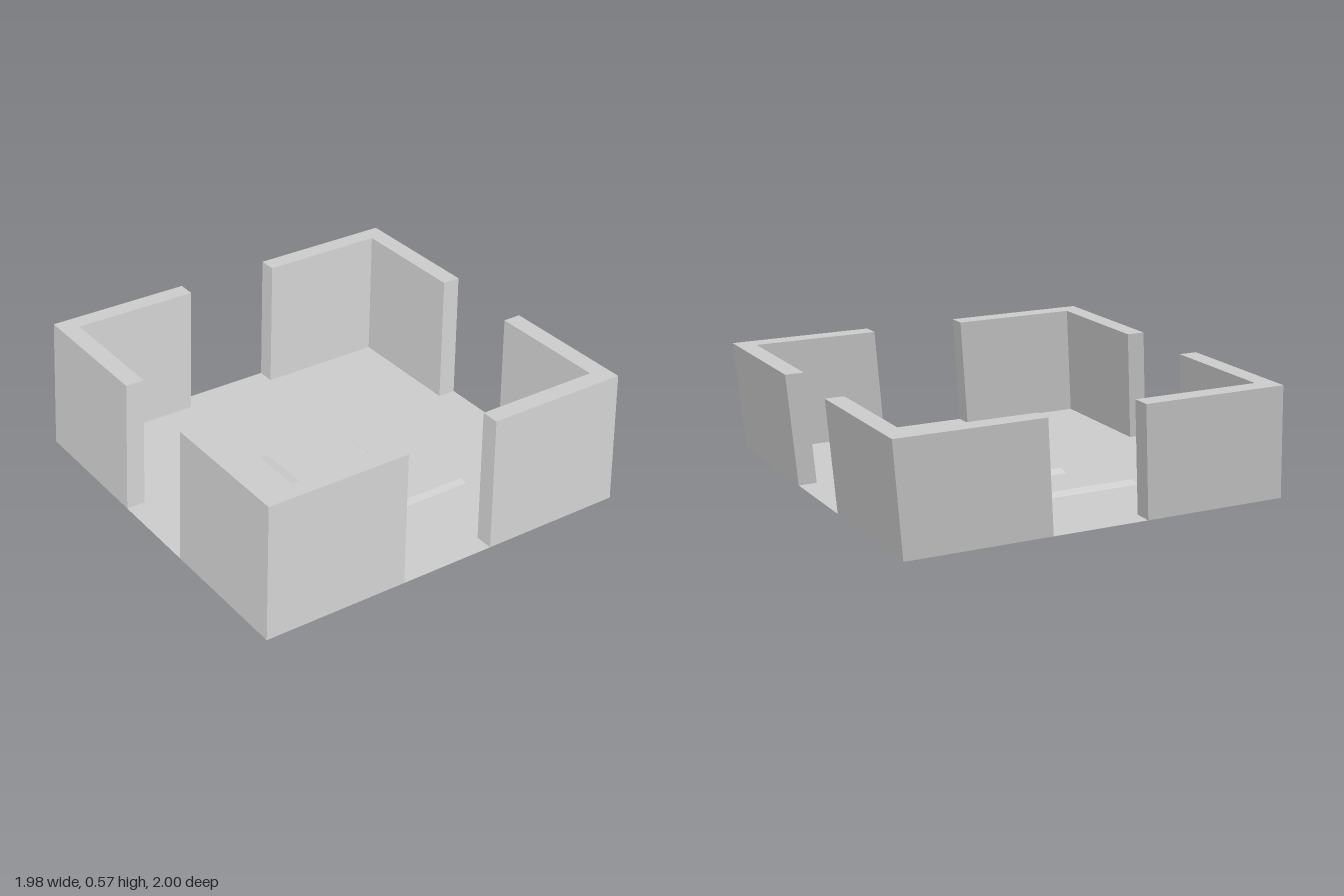
import * as THREE from 'three';

const HALF = 0.944;   // half width of the square footprint
const THICK = 0.09;   // wall thickness
const GAP = 0.237;    // half width of each opening
const HEIGHT = 0.567; // wall height
const LEAN = { x: 0.092, z: -0.111 }; // offset of the wall tops

const material = new THREE.MeshStandardMaterial({
  color: 0xcccccc, flatShading: true, side: THREE.DoubleSide,
});

function addMesh(parent, name, geometry) {
  const mesh = new THREE.Mesh(geometry, material);
  mesh.name = name;
  parent.add(mesh);
  return mesh;
}

// L-shaped corner wall, open underneath, leaning over by a shear
function cornerWall(quarter) {
  const inner = HALF - THICK;
  const outline = [[HALF, HALF], [GAP, HALF], [GAP, inner], [inner, inner], [inner, GAP], [HALF, GAP]];
  const shape = new THREE.Shape(outline.map(([x, y]) => new THREE.Vector2(x, y)));
  const solid = new THREE.ExtrudeGeometry(shape, { depth: HEIGHT, bevelEnabled: false })
    .rotateX(-Math.PI / 2)
    .rotateY(quarter * Math.PI / 2);

  // Keep every triangle except those of the bottom cap
  const p = solid.attributes.position.array;
  const kept = [];
  for (let i = 0; i < p.length; i += 9) {
    if (Math.max(p[i + 1], p[i + 4], p[i + 7]) > 0.001) kept.push(...p.slice(i, i + 9));
  }
  const geometry = new THREE.BufferGeometry();
  geometry.setAttribute('position', new THREE.Float32BufferAttribute(kept, 3));
  const pos = geometry.attributes.position;
  for (let i = 0; i < pos.count; i++) {
    const t = pos.getY(i) / HEIGHT;
    pos.setX(i, pos.getX(i) + LEAN.x * t);
    pos.setZ(i, pos.getZ(i) + LEAN.z * t);
  }
  geometry.computeVertexNormals();
  return geometry;
}

export function createModel() {
  const model = new THREE.Group();
  model.name = 'walledCourtyard';

  // Floor sheet with two raised square steps: [half width, height]
  const profile = [[HALF - THICK, 0], [0.472, 0], [0.451, 0.023], [0.226, 0.023], [0.204, 0.046], [0, 0.046]]
    .map(([half, y]) => new THREE.Vector2(half * Math.SQRT2, y));
  addMesh(model, 'steppedFloor', new THREE.LatheGeometry(profile, 4).rotateY(Math.PI / 4));

  // Thresholds in the openings and walls at the corners
  const names = ['front', 'left', 'back', 'right'];
  const corners = ['backLeft', 'backRight', 'frontRight', 'frontLeft'];
  for (let i = 0; i < 4; i++) {
    const threshold = new THREE.PlaneGeometry(2 * GAP, THICK)
      .rotateX(-Math.PI / 2)
      .translate(0, 0, HALF - THICK / 2)
      .rotateY(i * Math.PI / 2);
    addMesh(model, names[i] + 'Threshold', threshold);
    addMesh(model, corners[i] + 'Wall', cornerWall(i));
  }

  // Centre the leaning form as a whole
  for (const part of model.children) part.position.set(-LEAN.x / 2, 0, -LEAN.z / 2);
  return model;
}
